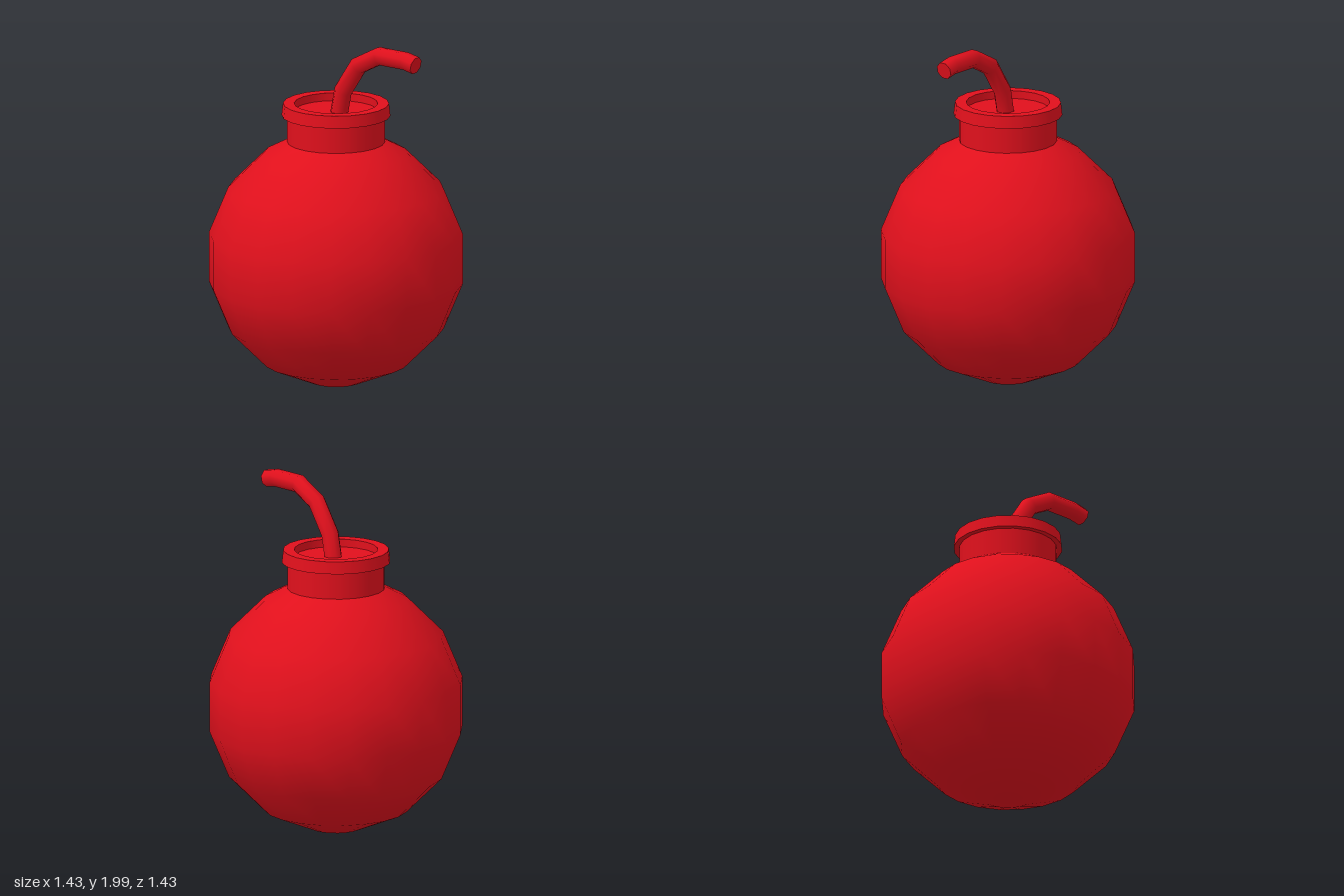
import * as THREE from 'three';

const SEGMENTS = 20;

export function createModel() {
  const model = new THREE.Group();
  const material = new THREE.MeshStandardMaterial({ color: 0xe0101c });
  const add = (name, geometry, parent = model) => {
    const mesh = new THREE.Mesh(geometry, material);
    mesh.name = name;
    parent.add(mesh);
  };
  const lathe = (points) =>
    new THREE.LatheGeometry(points.map(([r, y]) => new THREE.Vector2(r, y)), SEGMENTS);

  // Round body: rings every 22.5 degrees, cut open where the neck starts
  const radius = 0.728, centreY = 0.735;
  const profile = [[0, centreY - radius]];
  for (let deg = -78.75; deg < 60; deg += 22.5) {
    const a = THREE.MathUtils.degToRad(deg);
    profile.push([radius * Math.cos(a), centreY + radius * Math.sin(a)]);
  }
  profile.push([0.275, 1.408]);
  add('body', lathe(profile));

  // Neck and rim: one band per straight run keeps the edges sharp
  const neck = new THREE.Group();
  neck.name = 'neck';
  model.add(neck);
  const names = ['neckWall', 'rimUnderside', 'rimSide', 'rimTop', 'recessWall', 'recessFloor'];
  const outline = [[0.275, 1.39], [0.275, 1.56], [0.306, 1.56], [0.298, 1.63],
    [0.235, 1.63], [0.235, 1.585], [0, 1.585]];
  names.forEach((name, i) => add(name, lathe([outline[i], outline[i + 1]]), neck));

  // Fuse: an octagonal cylinder bent through mitred stations
  const path = [[0.022, 1.575], [0.05, 1.71], [0.16, 1.873], [0.31, 1.952], [0.497, 1.952], [0.57, 1.937]]
    .map(([x, y]) => new THREE.Vector2(x, y));
  const last = path.length - 1;
  const dir = (i) => path[i + 1].clone().sub(path[i]).normalize();
  const stations = path.map((p, i) => {
    const before = dir(Math.max(i - 1, 0)), after = dir(Math.min(i, last - 1));
    const t = before.clone().add(after).normalize();
    return { p, t, miter: 1 / t.dot(after) };
  });
  const fuse = new THREE.CylinderGeometry(0.051, 0.051, last, 8, last, false, Math.PI / 8);
  const pos = fuse.attributes.position, nor = fuse.attributes.normal;
  for (let i = 0; i < pos.count; i++) {
    const { p, t, miter } = stations[Math.round(pos.getY(i) + last / 2)];
    const x = pos.getX(i) * miter, nx = nor.getX(i), ny = nor.getY(i);
    pos.setXYZ(i, p.x + x * t.y, p.y - x * t.x, pos.getZ(i));
    nor.setXYZ(i, nx * t.y + ny * t.x, ny * t.y - nx * t.x, nor.getZ(i));
  }
  add('fuse', fuse);

  return model;
}
